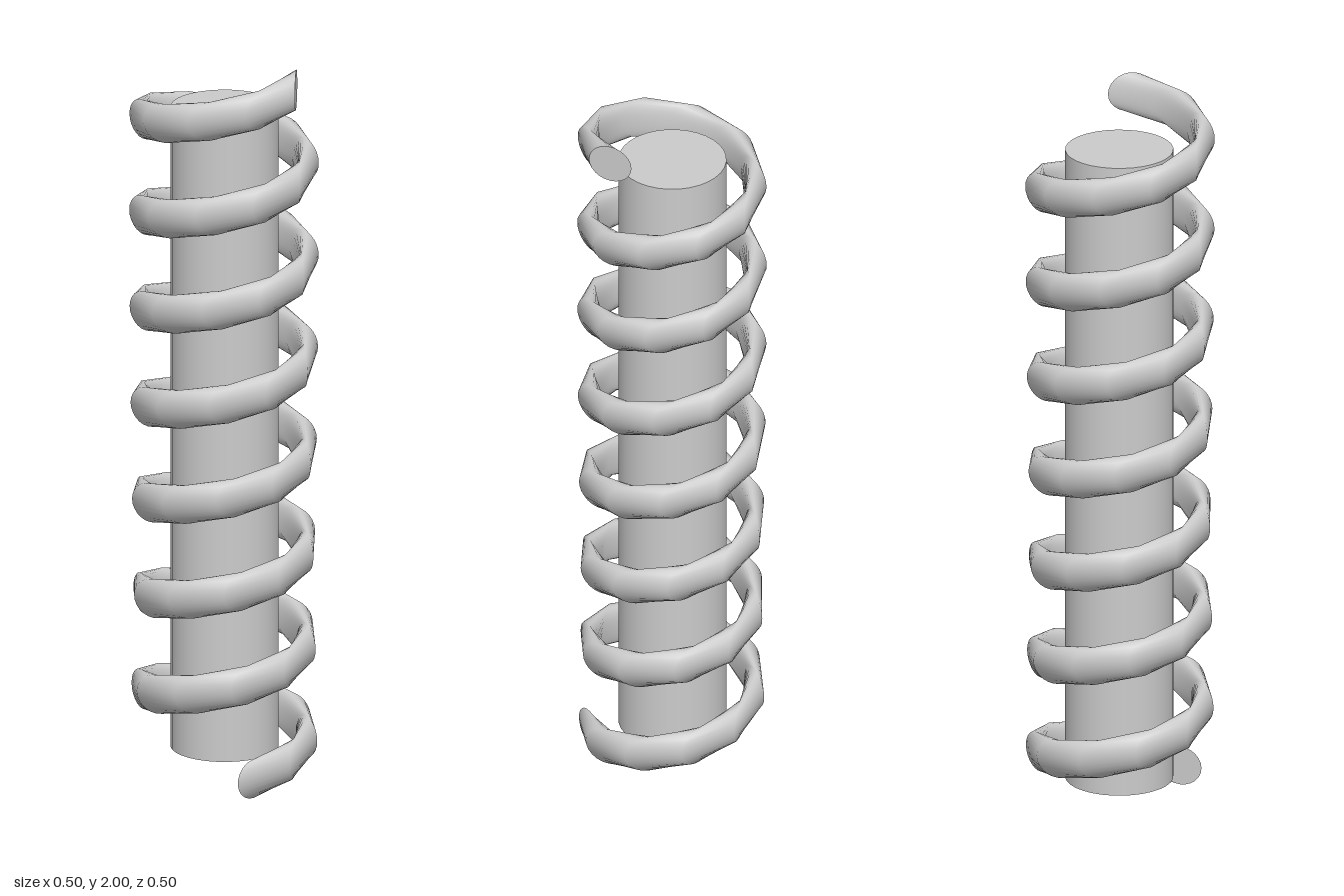
import * as THREE from 'three';

const material = new THREE.MeshStandardMaterial({ color: 0xcccccc });

// Helical tube made of upright elliptical rings, each twisted away from the path
function coilGeometry() {
  const stations = 72, sides = 24;
  const radius = 0.219, halfWidth = 0.061, halfHeight = 0.054;
  const startAngle = THREE.MathUtils.degToRad(-28);
  const endAngle = THREE.MathUtils.degToRad(12 + 7 * 360);
  const skew = THREE.MathUtils.degToRad(-64);
  const positions = [], indices = [];

  const addRing = (k) => {
    const f = k / stations;
    const angle = THREE.MathUtils.lerp(startAngle, endAngle, f);
    const y = THREE.MathUtils.lerp(halfHeight, 2 - halfHeight, f);
    const first = positions.length / 3;
    for (let j = 0; j < sides; j++) {
      const t = (j / sides) * Math.PI * 2;
      const w = halfWidth * Math.cos(t);
      positions.push(
        radius * Math.sin(angle) + w * Math.sin(angle + skew),
        y + halfHeight * Math.sin(t),
        radius * Math.cos(angle) + w * Math.cos(angle + skew)
      );
    }
    return first;
  };

  // Tube wall
  for (let k = 0; k <= stations; k++) {
    const b = addRing(k), a = b - sides;
    if (k === 0) continue;
    for (let j = 0; j < sides; j++) {
      const n = (j + 1) % sides;
      indices.push(a + j, b + j, a + n, a + n, b + j, b + n);
    }
  }

  // Flat end caps with their own vertices, so the rims stay sharp
  for (const k of [0, stations]) {
    const c = addRing(k);
    for (let j = 1; j < sides - 1; j++) {
      if (k === 0) indices.push(c, c + j, c + j + 1);
      else indices.push(c, c + j + 1, c + j);
    }
  }

  const geometry = new THREE.BufferGeometry();
  geometry.setAttribute('position', new THREE.Float32BufferAttribute(positions, 3));
  geometry.setIndex(indices);
  geometry.computeVertexNormals();
  return geometry;
}

export function createModel() {
  const group = new THREE.Group();
  group.name = 'coilSpringOnRod';

  // Central rod
  const bottom = 0.08, top = 1.865;
  const rod = new THREE.Mesh(new THREE.CylinderGeometry(0.144, 0.144, top - bottom, 32), material);
  rod.name = 'rod';
  rod.position.set(0.002, (bottom + top) / 2, 0);
  group.add(rod);

  // Spring wound around the rod
  const coil = new THREE.Mesh(coilGeometry(), material);
  coil.name = 'coil';
  group.add(coil);

  return group;
}
